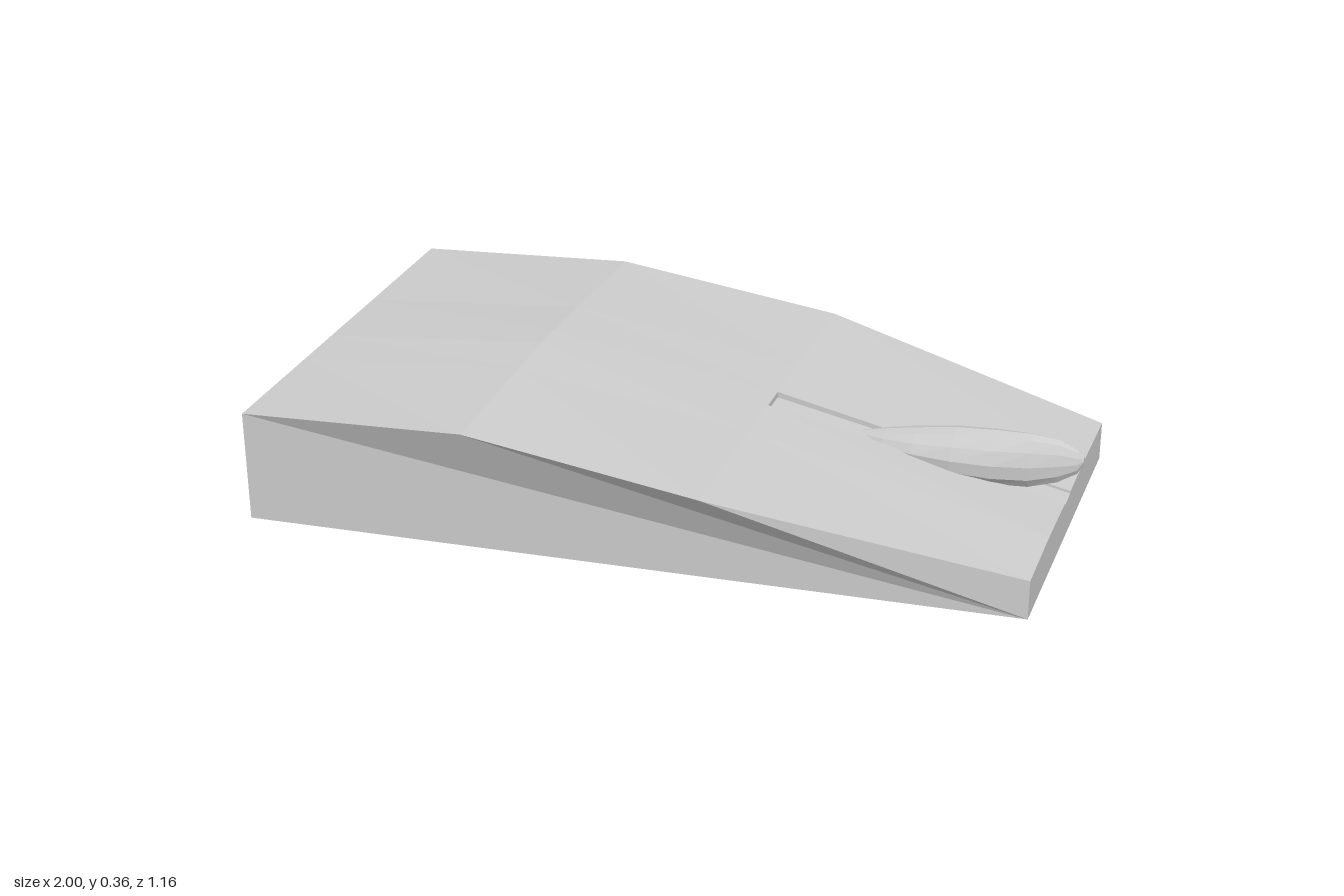
import * as THREE from 'three';

const V = (x, y, z) => new THREE.Vector3(x, y, z);
const material = () => new THREE.MeshStandardMaterial({ color: 0xcccccc, flatShading: true });

// Builds a mesh from polygons, each split as a fan around its first corner.
function polyMesh(name, polys) {
  const pts = [];
  for (const p of polys)
    for (let i = 1; i < p.length - 1; i++) pts.push(p[0], p[i], p[i + 1]);
  const geo = new THREE.BufferGeometry().setFromPoints(pts);
  geo.computeVertexNormals();
  const mesh = new THREE.Mesh(geo, material());
  mesh.name = name;
  return mesh;
}

// Humped slab whose top carries a shallow groove running to the front end
function makeSlab() {
  // x, right edge z, left edge z, edge y, mid y, centre y, groove right z, groove left z
  const stations = [
    [-1.0, -0.58, 0.54, 0.293, 0.293, 0.293, -0.03, 0.05],
    [-0.4, -0.56, 0.56, 0.345, 0.358, 0.364, -0.03, 0.05],
    [0.21, -0.54, 0.58, 0.285, 0.285, 0.285, -0.03, 0.05],
    [0.965, -0.455, 0.41, 0.12, 0.127, 0.124, -0.05, 0.02],
  ];
  const top = stations.map(([x, r, l, ye, ym, yc, gr, gl]) => [
    V(x, ye, r), V(x, ym, -0.2), V(x, yc, gr), V(x, yc, gl), V(x, ym, 0.2), V(x, ye, l),
  ]);
  const [b, m, s, f] = top;
  const backR = V(-1, 0, -0.58), backL = V(-1, 0, 0.54);
  const frontR = V(0.965, 0.017, -0.455), frontL = V(0.965, 0.017, 0.41);
  const down = (p, d) => V(p.x, p.y - d, p.z);
  const polys = [];

  // top surface, leaving the groove open
  for (let i = 0; i < 3; i++)
    for (let j = 0; j < 5; j++)
      if (!(i === 2 && j === 2))
        polys.push([top[i][j], top[i][j + 1], top[i + 1][j + 1], top[i + 1][j]]);

  // groove floor and walls
  const sR = down(s[2], 0.015), sL = down(s[3], 0.015);
  const fR = down(f[2], 0.006), fL = down(f[3], 0.006);
  polys.push([sR, sL, fL, fR], [sR, fR, f[2], s[2]], [s[3], f[3], fL, sL], [sL, sR, s[2], s[3]]);

  // ends, sides and underside
  polys.push(
    [frontL, frontR, f[0], f[1], f[2], fR, fL, f[3], f[4], f[5]],
    [backR, backL, ...b.slice().reverse()],
    [frontL, f[5], s[5], m[5], b[5], backL],
    [frontR, backR, b[0], m[0], s[0], f[0]],
    [backR, frontR, frontL, backL],
  );
  return polyMesh('slab', polys);
}

// Faceted pod lofted from egg-shaped rings, partly sunk into the slope
function makePod() {
  const sides = 12;
  // x, bottom y, top y, half width
  const rings = [
    [0.44, 0.205, 0.226, 0.012],
    [0.5, 0.18, 0.241, 0.04],
    [0.58, 0.165, 0.257, 0.06],
    [0.68, 0.15, 0.274, 0.069],
    [0.78, 0.143, 0.283, 0.064],
    [0.87, 0.146, 0.287, 0.05],
    [0.94, 0.168, 0.281, 0.034],
    [0.985, 0.198, 0.262, 0.02],
    [1.0, 0.228, 0.248, 0.008],
  ].map(([x, y0, y1, w]) => Array.from({ length: sides }, (_, k) => {
    const a = (k / sides) * Math.PI * 2, sn = Math.sin(a);
    return V(x, (y0 + y1) / 2 + (sn * (y1 - y0)) / 2, -0.008 + w * Math.cos(a) * (1 - 0.22 * sn));
  }));
  const polys = [rings[0], rings[rings.length - 1].slice().reverse()];
  for (let i = 0; i < rings.length - 1; i++)
    for (let k = 0; k < sides; k++) {
      const n = (k + 1) % sides;
      polys.push([rings[i][k], rings[i + 1][k], rings[i + 1][n], rings[i][n]]);
    }
  return polyMesh('pod', polys);
}

export function createModel() {
  const group = new THREE.Group();
  group.name = 'slabWithPod';
  group.add(makeSlab(), makePod());
  return group;
}
